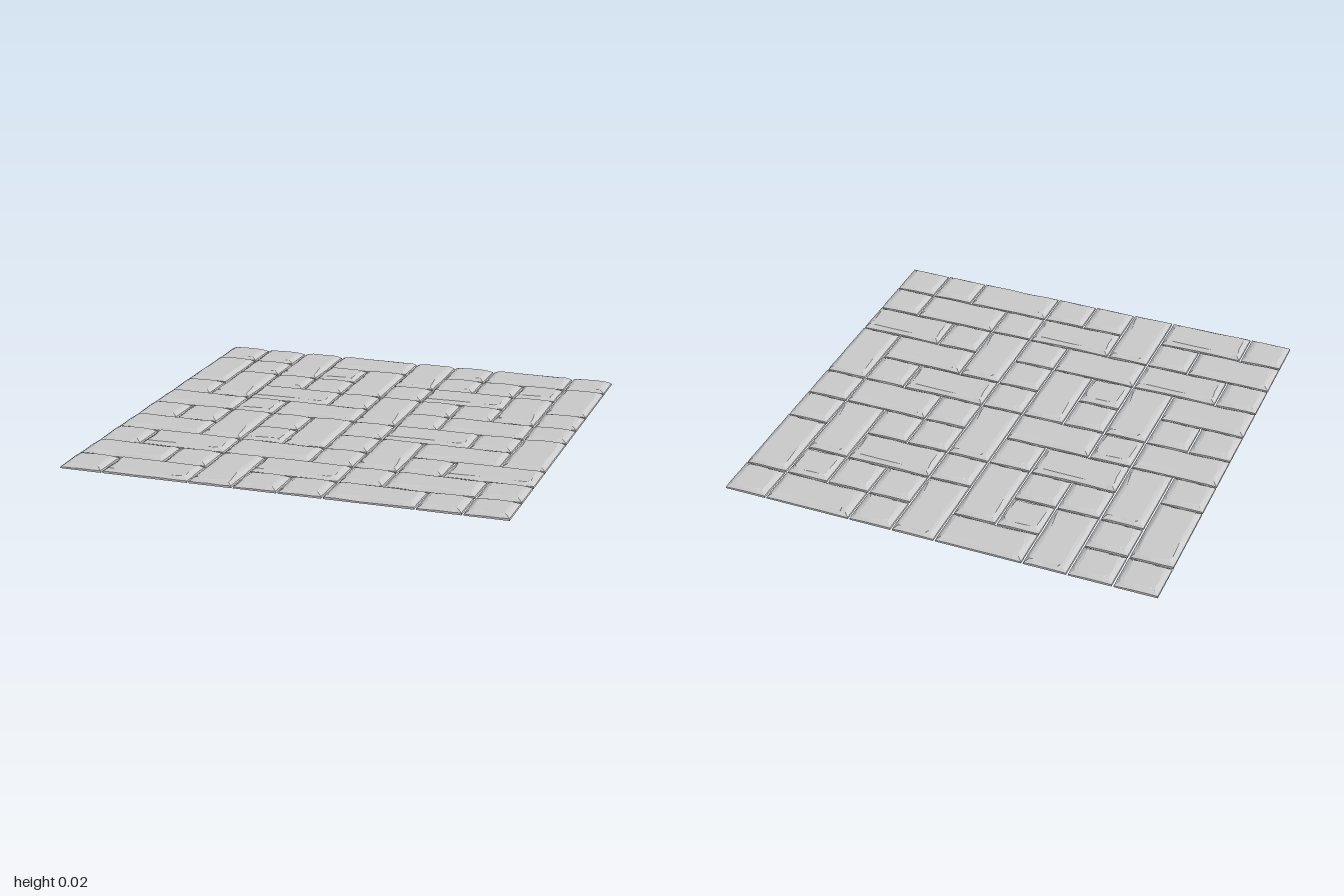
import * as THREE from 'three';

const CELLS = 10, GAP = 0.004, HEIGHT = 0.021;
const PITCH = (2 + 2 * GAP) / CELLS;

// One letter per cell: s = square stone, h = two cells wide, v = two cells deep,
// capitals = less chipped stones, dot = covered by a neighbour.
const LAYOUT = [
  'ssvh.vsh.s',
  'Vs.SV.ssSV',
  '.vss.sH.v.',
  's.H.svss.s',
  'h.Sh..sh.s',
  'ssvsVsH.sV',
  'h..S.svh..',
  'sH.h.s.sH.',
  'h.svH.sh.s',
  'sH..ssh.ss',
];

function seeded(seed) {
  return () => {
    seed = (seed * 16807) % 2147483647;
    return seed / 2147483647;
  };
}

// Worn paving stone: square foot, low lip, steep bevel, then irregular shallow chips.
function stoneGeometry(width, depth, chip, seed) {
  const rnd = seeded(seed);
  const hx = width / 2, hz = depth / 2;
  const stations = (half) => half > 0.12 ? [-1, -0.78, -0.3, 0.2, 0.72] : [-1, -0.55, 0.1, 0.55];
  // Outline points with the outward direction of the edge they sit on
  const outline = [];
  const sides = [[1, 0], [0, 1], [-1, 0], [0, -1]];
  sides.forEach(([nx, nz], k) => {
    const [px, pz] = sides[(k + 3) % 4];
    for (const t of stations(nx ? hz : hx)) {
      const corner = t === -1;
      outline.push({
        x: (nx - nz * t) * hx, z: (nz + nx * t) * hz,
        nx: nx + (corner ? px : 0), nz: nz + (corner ? pz : 0), corner,
      });
    }
  });

  const n = outline.length, pos = [], index = [];
  const ring = (data) => outline.forEach((p, i) =>
    pos.push(p.x - p.nx * data[i].inset, data[i].y, p.z - p.nz * data[i].inset));
  const lip = outline.map(() => ({ inset: 0.001, y: 0.006 + 0.004 * rnd() }));
  const shoulder = outline.map((p) => ({ inset: 0.013 + 0.007 * rnd() + (p.corner ? 0.003 : 0), y: 0.0175 + 0.0015 * rnd() }));
  const top = shoulder.map((s, i) => ({
    inset: s.inset + 0.003 + chip * rnd() * (outline[i].corner ? 1 : 0.7), y: HEIGHT,
  }));
  ring(outline.map(() => ({ inset: 0, y: 0 })));
  ring(lip);
  ring(shoulder);
  ring(top);
  pos.push(0, 0, 0, 0, HEIGHT, 0);

  for (let i = 0; i < n; i++) {
    const j = (i + 1) % n;
    for (let r = 0; r < 3; r++) {
      const a = r * n, b = a + n;
      index.push(a + i, b + i, a + j, b + i, b + j, a + j);
    }
    index.push(4 * n, i, j);                          // underside
    index.push(4 * n + 1, 3 * n + j, 3 * n + i);      // flat top
  }
  const indexed = new THREE.BufferGeometry();
  indexed.setAttribute('position', new THREE.Float32BufferAttribute(pos, 3));
  indexed.setIndex(index);
  const geometry = indexed.toNonIndexed();
  geometry.computeVertexNormals();
  return geometry;
}

export function createModel() {
  const model = new THREE.Group();
  model.name = 'stonePavement';
  const material = new THREE.MeshStandardMaterial({ color: 0xcccccc, flatShading: true });

  const one = PITCH - 2 * GAP, two = 2 * PITCH - 2 * GAP;
  const stones = {
    s: { name: 'squareStone', w: 1, d: 1, geometry: stoneGeometry(one, one, 0.016, 4711) },
    S: { name: 'smoothSquareStone', w: 1, d: 1, geometry: stoneGeometry(one, one, 0.004, 913) },
    h: { name: 'wideStone', w: 2, d: 1, geometry: stoneGeometry(two, one, 0.026, 2027) },
    H: { name: 'smoothWideStone', w: 2, d: 1, geometry: stoneGeometry(two, one, 0.006, 5501) },
    v: { name: 'deepStone', w: 1, d: 2, geometry: stoneGeometry(one, two, 0.026, 7919) },
    V: { name: 'smoothDeepStone', w: 1, d: 2, geometry: stoneGeometry(one, two, 0.012, 3571) },
  };

  // Lay the stones cell by cell
  LAYOUT.forEach((row, r) => [...row].forEach((letter, c) => {
    const stone = stones[letter];
    if (!stone) return;
    const mesh = new THREE.Mesh(stone.geometry, material);
    mesh.name = stone.name;
    mesh.position.set((c + stone.w / 2 - CELLS / 2) * PITCH, 0, (r + stone.d / 2 - CELLS / 2) * PITCH);
    model.add(mesh);
  }));
  return model;
}
